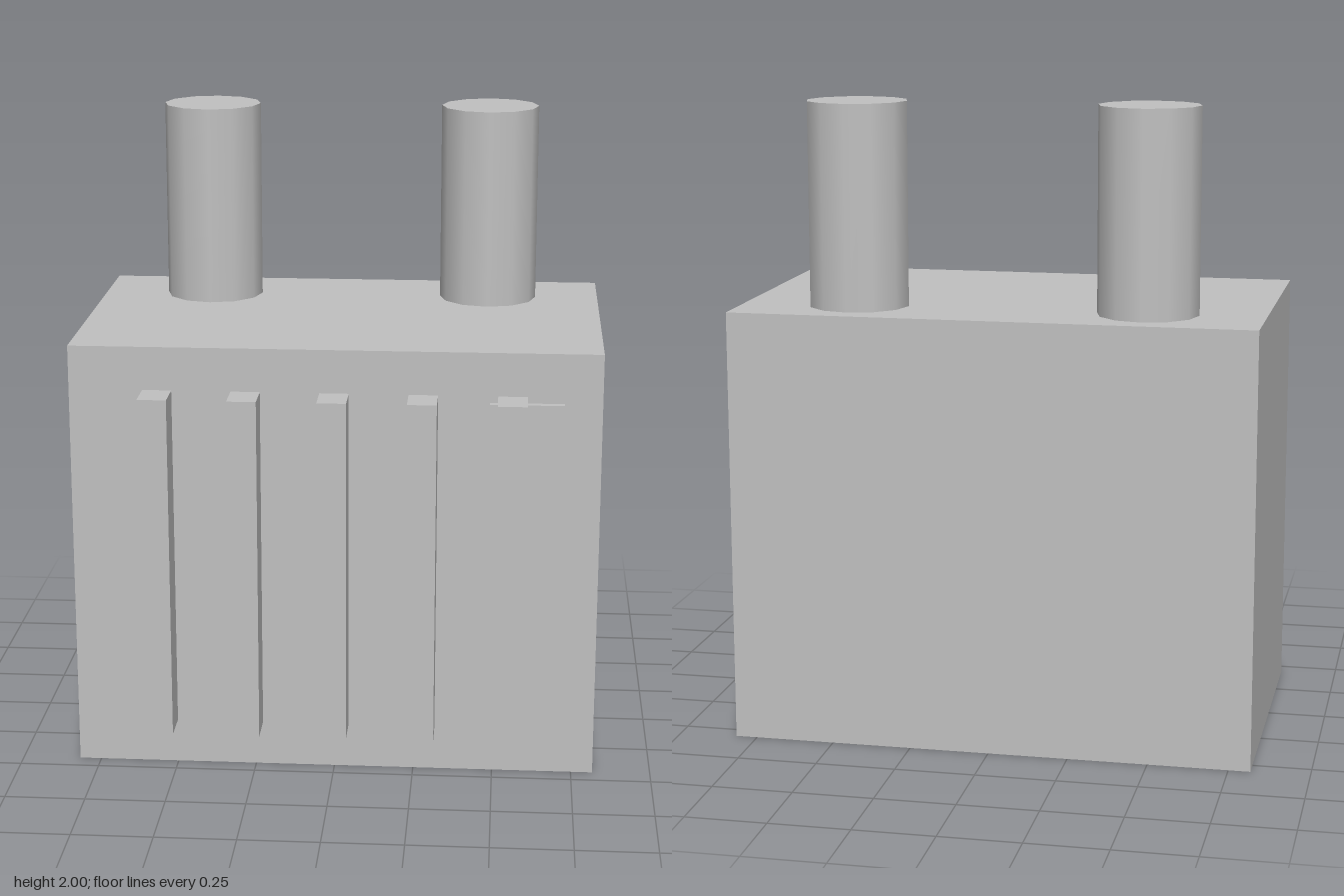
import * as THREE from 'three';

export function createModel() {
  const model = new THREE.Group();
  model.name = 'ventedUnit';
  const grey = new THREE.MeshStandardMaterial({ color: 0xc0c0c0 });
  grey.name = 'light grey';

  const add = (name, geometry, x, y, z) => {
    const mesh = new THREE.Mesh(geometry, grey);
    mesh.name = name;
    mesh.position.set(x, y, z);
    model.add(mesh);
  };
  // Box given by its min and max corners
  const box = (name, x0, x1, y0, y1, z0, z1) =>
    add(name, new THREE.BoxGeometry(x1 - x0, y1 - y0, z1 - z0),
      (x0 + x1) / 2, (y0 + y1) / 2, (z0 + z1) / 2);

  // Main housing
  box('housing', -0.818, 0.818, 0, 1.364, -0.557, 0.441);

  // Five upright fins on the front
  for (let i = -2; i <= 2; i++) {
    const x = i * 0.2725;
    box('fin' + (i + 3), x - 0.045, x + 0.045, 0.141, 1.228, 0.43, 0.557);
  }

  // Small plate behind the fin at the upper left corner
  box('plate', 0.475, 0.702, 1.075, 1.208, 0.43, 0.464);

  // Two stacks rising from the back of the roof
  for (const side of [-1, 1]) {
    add(side > 0 ? 'leftStack' : 'rightStack',
      new THREE.CylinderGeometry(0.158, 0.158, 0.65, 12), side * 0.455, 1.675, -0.33);
  }
  return model;
}
